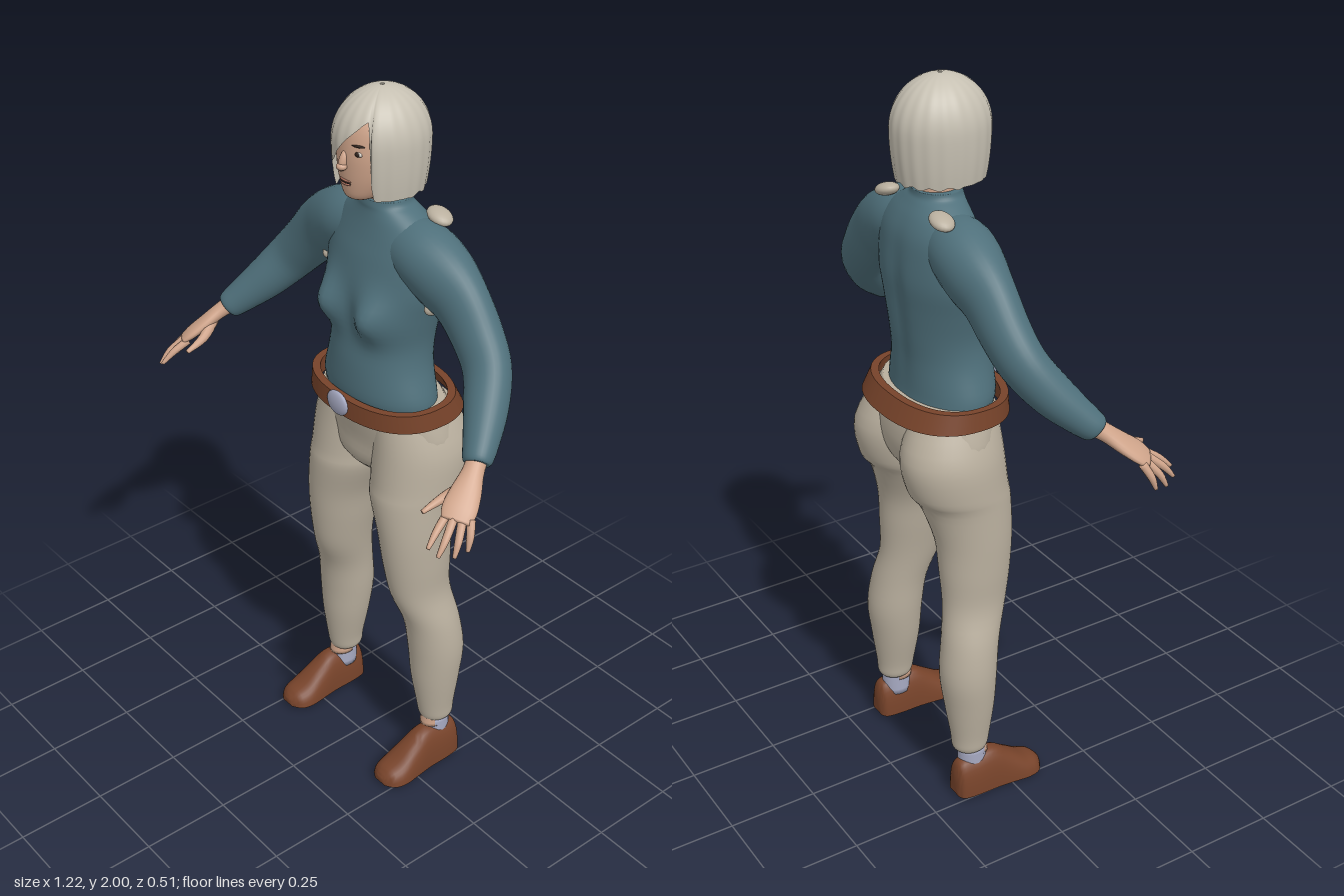
import * as THREE from 'three';
import { toCreasedNormals } from 'three/addons/utils/BufferGeometryUtils.js';

const mat = (name, color) => Object.assign(new THREE.MeshStandardMaterial({ color }), { name });
const V = (x, y, z) => new THREE.Vector3(x, y, z);

// Catmull-Rom interpolation of number rows, k steps between neighbours
function smooth(rows, k = 4) {
  const out = [], last = rows.length - 1;
  for (let i = 0; i < last; i++) {
    const [p, a, b, q] = [rows[Math.max(i - 1, 0)], rows[i], rows[i + 1], rows[Math.min(i + 2, last)]];
    for (let j = 0; j < k; j++) {
      const t = j / k;
      out.push(a.map((v, c) => v + 0.5 * t * (b[c] - p[c] + t * (2 * p[c] - 5 * v + 4 * b[c] - q[c]
        + t * (3 * (v - b[c]) + q[c] - p[c])))));
    }
  }
  out.push(rows[last]);
  return out;
}

// Skin a list of closed rings (arrays of Vector3)
function skin(rings, caps = true) {
  const n = rings[0].length, pos = [], idx = [];
  rings.forEach(r => r.forEach(p => pos.push(p.x, p.y, p.z)));
  for (let i = 0; i < rings.length - 1; i++) for (let j = 0; j < n; j++) {
    const a = i * n + j, b = i * n + (j + 1) % n;
    idx.push(a, b, a + n, b, b + n, a + n);
  }
  if (caps) [0, rings.length - 1].forEach((r, end) => {
    const c = pos.length / 3, m = rings[r].reduce((s, p) => s.add(p), V(0, 0, 0)).divideScalar(n);
    pos.push(m.x, m.y, m.z);
    for (let j = 0; j < n; j++) {
      const a = r * n + j, b = r * n + (j + 1) % n;
      if (end) idx.push(c, a, b); else idx.push(c, b, a);
    }
  });
  const g = new THREE.BufferGeometry();
  g.setAttribute('position', new THREE.Float32BufferAttribute(pos, 3));
  g.setIndex(idx);
  g.computeVertexNormals();
  return g;
}

// Ring c + u cos + v sin; power below 1 makes it squarer
function ring(c, u, v, n = 32, power = 1) {
  const f = w => Math.sign(w) * Math.abs(w) ** power;
  return Array.from({ length: n }, (_, j) => {
    const a = j / n * Math.PI * 2;
    return c.clone().addScaledVector(u, f(Math.cos(a))).addScaledVector(v, f(Math.sin(a)));
  });
}

// Horizontal sections, top to bottom: [y, x, z, rx, rz]
const stack = (rows, n = 40) => skin(smooth(rows).map(([y, x, z, rx, rz]) => ring(V(x, y, z), V(rx, 0, 0), V(0, 0, rz), n)));

// Limb along a path: [x, y, z, width, depth]; ref is the depth direction
function limb(rows, ref, n = 20) {
  const r = smooth(rows), at = i => V(...r[Math.min(Math.max(i, 0), r.length - 1)].slice(0, 3));
  return skin(r.map(([, , , w, d], i) => {
    const t = at(i + 1).sub(at(i - 1)).normalize();
    const u = ref.clone().cross(t).normalize(), v = t.clone().cross(u);
    return ring(at(i), u.multiplyScalar(w), v.multiplyScalar(d), n);
  }));
}

export function createModel() {
  const skinM = mat('skin', 0xcfa48a), sweaterM = mat('sweater', 0x4f707b), trouserM = mat('trousers', 0xb9af9e);
  const hairM = mat('hair', 0xc6c0b2), leatherM = mat('leather', 0x77432a), metalM = mat('sock and buckle', 0xa5a8c0);
  const darkM = mat('eye', 0x32251f), lipM = mat('lips', 0xa9705e), whiteM = mat('eye white', 0xd8d2c8);
  hairM.side = THREE.DoubleSide;
  const model = new THREE.Group();
  const add = (name, geo, m) => {
    const mesh = new THREE.Mesh(geo, m);
    mesh.name = name;
    model.add(mesh);
    return mesh;
  };
  const blob = (name, m, p, s) => {
    const b = add(name, new THREE.SphereGeometry(1, 20, 14), m);
    b.position.set(...p);
    b.scale.set(...s);
    return b;
  };

  // Sweater body, with bust and spine groove
  const torso = stack([
    [1.72, 0, -.08, .07, .062], [1.705, 0, -.08, .076, .064], [1.69, 0, -.085, .1, .069], [1.66, 0, -.092, .145, .082],
    [1.62, 0, -.095, .178, .096], [1.57, 0, -.092, .19, .108], [1.5, 0, -.088, .19, .118], [1.43, 0, -.083, .172, .118],
    [1.35, 0, -.078, .155, .116], [1.28, 0, -.07, .158, .117], [1.2, 0, -.068, .18, .118], [1.16, 0, -.075, .18, .115]], 64);
  const tp = torso.attributes.position;
  for (let i = 0; i < tp.count; i++) {
    const x = tp.getX(i), y = tp.getY(i), z = tp.getZ(i);
    const bust = .05 * Math.exp(-(((Math.abs(x) - .085) / .05) ** 2) - ((y - 1.43) / .06) ** 2);
    const spine = .012 * Math.exp(-((x / .03) ** 2) - ((y - 1.42) / .16) ** 2);
    tp.setZ(i, z + (z > -.06 ? bust : z < -.13 ? spine : 0));
  }
  torso.computeVertexNormals();
  add('sweaterBody', torso, sweaterM);

  // Hips, belt and buckle
  add('hips', stack([[1.18, 0, -.085, .192, .115], [1.14, 0, -.09, .208, .13], [1.05, 0, -.1, .222, .126],
    [.98, 0, -.09, .15, .11], [.93, 0, -.085, .04, .06]]), trouserM);
  const belt = [[1.19, -.078, .214, .149], [1.14, -.09, .222, .165], [1.14, -.09, .2, .143], [1.19, -.078, .194, .128]];
  add('belt', toCreasedNormals(skin([...belt, belt[0]].map(([y, z, rx, rz]) =>
    ring(V(0, y, z), V(rx, 0, 0), V(0, 0, rz), 64, .85)), false), .7), leatherM);
  blob('buckle', metalM, [-.003, 1.168, .073], [.041, .034, .012]);

  for (const s of [1, -1]) {
    const side = s > 0 ? 'left' : 'right';
    const flip = rows => rows.map(([x, ...r]) => [x * s, ...r]);

    // Trouser leg
    add(side + 'Leg', stack([
      [1.16, .1, -.09, .09, .11], [1.05, .118, -.112, .117, .14], [.95, .125, -.1, .117, .138], [.9, .129, -.08, .111, .125],
      [.8, .149, -.067, .092, .108], [.7, .158, -.068, .082, .1], [.6, .167, -.075, .072, .09], [.5, .188, -.1, .076, .08],
      [.4, .197, -.112, .078, .079], [.3, .2, -.11, .068, .07], [.2, .204, -.11, .051, .056], [.16, .205, -.112, .046, .05],
      [.145, .205, -.112, .034, .038]].map(([y, x, ...r]) => [y, x * s, ...r])), trouserM);

    // Ankle, sock and shoe
    add(side + 'Ankle', stack([[.18, s * .208, -.105, .033, .038], [.13, s * .208, -.1, .034, .04]], 20), skinM);
    add(side + 'Sock', stack([[.155, s * .21, -.108, .034, .041], [.08, s * .21, -.105, .036, .044]], 20), metalM);
    const shoe = smooth([[-.168, .024, .09], [-.155, .04, .118], [-.11, .046, .125], [-.05, .047, .13], [0, .052, .1],
      [.05, .057, .066], [.085, .048, .052], [.105, .022, .034]]).map(([z, w, h]) =>
      ring(V(s * .217, 0, z), V(w, 0, 0), V(0, h, 0), 32, .8).map(p => p.setY(Math.max(p.y, .012))));
    add(side + 'Shoe', toCreasedNormals(skin(shoe), .9), leatherM);
    blob(side + 'Sole', trouserM, [s * .216, .011, -.035], [.034, .01, .105]);

    // Sleeve
    add(side + 'Sleeve', limb(flip([[.07, 1.6, -.09, .08, .075], [.14, 1.592, -.093, .088, .085], [.21, 1.557, -.097, .091, .078],
      [.27, 1.518, -.097, .083, .064], [.335, 1.452, -.093, .073, .06], [.39, 1.39, -.077, .067, .057],
      [.44, 1.322, -.03, .058, .054], [.482, 1.267, .022, .046, .044], [.502, 1.241, .05, .039, .037],
      [.507, 1.234, .057, .032, .03]]), V(0, 0, 1), 32), sweaterM);

    // Hand and fingers
    const palmNormal = V(-.5 * s, -.85, -.45);
    add(side + 'Palm', limb(flip([[.495, 1.25, .04, .026, .026], [.515, 1.225, .075, .027, .021], [.535, 1.193, .115, .038, .018],
      [.552, 1.166, .15, .043, .015], [.563, 1.148, .172, .036, .01]]), palmNormal), skinM);
    const fingers = {
      Index: [[.535, 1.155, .175], [.546, 1.13, .216], [.555, 1.1, .25]],
      Middle: [[.556, 1.152, .172], [.574, 1.118, .212], [.58, 1.085, .24]],
      Ring: [[.572, 1.148, .158], [.592, 1.112, .187], [.599, 1.078, .205]],
      Little: [[.583, 1.15, .14], [.6, 1.115, .157], [.605, 1.083, .168]],
      Thumb: [[.522, 1.2, .1], [.496, 1.172, .15], [.488, 1.152, .21]],
    };
    for (const [name, path] of Object.entries(fingers)) {
      const r = name === 'Thumb' ? [.018, .013, .006] : [.011, .0095, .005];
      add(side + name + 'Finger', limb(flip(path.map((p, i) => [...p, r[i], r[i]])), palmNormal, 10), skinM);
    }

    // Pale shoulder and underarm patches
    const patch = blob(side + 'ShoulderPatch', trouserM, [s * .13, 1.682, -.145], [.038, .017, .03]);
    patch.rotation.z = -s * .3;
    blob(side + 'UnderarmPatch', trouserM, [s * .2, 1.485, -.07], [.014, .022, .03]);

    // Eye and brow
    blob(side + 'EyeWhite', whiteM, [s * .039, 1.862, .038], [.014, .006, .005]);
    blob(side + 'Eye', darkM, [s * .039, 1.862, .041], [.008, .006, .004]);
    const brow = blob(side + 'Brow', darkM, [s * .04, 1.882, .038], [.018, .003, .005]);
    brow.rotation.y = s * .4;
  }

  // Head, neck, nose and mouth
  add('neck', new THREE.CylinderGeometry(.053, .057, .14, 32).translate(0, 1.72, -.08), skinM);
  add('head', stack([[1.98, 0, -.06, .01, .012], [1.96, 0, -.055, .055, .062], [1.92, 0, -.045, .079, .084],
    [1.86, 0, -.035, .084, .085], [1.81, 0, -.03, .078, .08], [1.77, 0, -.022, .063, .068], [1.74, 0, -.01, .042, .048],
    [1.728, 0, -.008, .02, .025]]), skinM);
  const nose = blob('nose', skinM, [0, 1.837, .052], [.011, .027, .012]);
  nose.rotation.x = -.3;
  blob('noseTip', skinM, [0, 1.824, .057], [.014, .01, .014]);
  blob('upperLip', lipM, [0, 1.786, .044], [.021, .004, .008]);
  blob('lowerLip', lipM, [0, 1.777, .043], [.018, .005, .008]);
  blob('mouthLine', darkM, [0, 1.7815, .046], [.021, .001, .006]);

  // Bobbed hair: a dome whose lower edge rises over the face as a swept fringe
  const edge = [[-1, 1.742], [-.66, 1.742], [-.58, 1.795], [-.27, 1.836], [.095, 1.89], [.5, 1.935], [.62, 1.945], [.68, 1.745], [1, 1.742]];
  const edgeAt = s => {
    const i = Math.max(1, edge.findIndex(e => e[0] >= s));
    const [a, b] = [edge[i - 1], edge[i]];
    return a[1] + (b[1] - a[1]) * (s - a[0]) / (b[0] - a[0]);
  };
  const hairRings = [];
  for (let i = 0; i <= 20; i++) hairRings.push(Array.from({ length: 120 }, (_, j) => {
    const a = j / 120 * Math.PI * 2, sx = Math.cos(a), sz = Math.sin(a);
    const low = sz > 0 ? edgeAt(sx) : 1.742 + .004 * Math.sin(a * 15);
    const y = 2 - (2 - low) * (1 - Math.cos((.02 + .98 * i / 20) * Math.PI / 2));
    const k = (y - 1.87) / .13;
    const r = (k > 0 ? Math.sqrt(Math.max(0, 1 - k * k)) : 1 - .1 * k * k) * (1 + .008 * Math.sin(a * 20));
    return V(.112 * r * sx, y, -.067 + .129 * r * sz);
  }));
  add('hair', skin(hairRings, false), hairM);

  return model;
}
